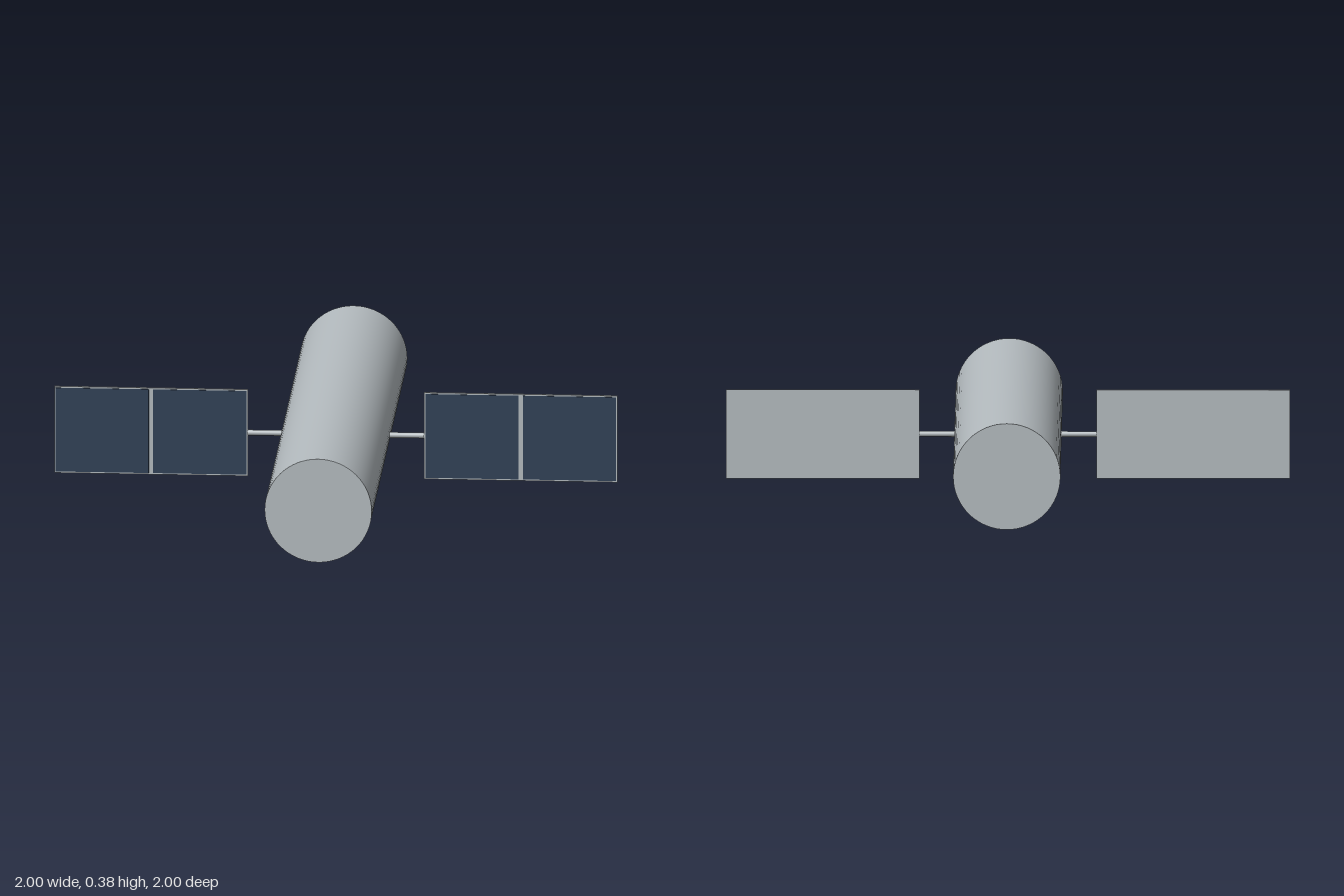
import * as THREE from 'three';

export function createModel() {
  const group = new THREE.Group();
  const metal = new THREE.MeshStandardMaterial({ color: 0xb4bbbf });
  metal.name = 'light grey metal';
  const cellBlue = new THREE.MeshStandardMaterial({ color: 0x304056 });
  cellBlue.name = 'dark blue cells';

  const R = 0.19; // body radius, also the height of its axis
  const add = (name, geometry, material, x, z, parent) => {
    const mesh = new THREE.Mesh(geometry, material);
    mesh.name = name;
    mesh.position.set(x, R, z);
    parent.add(mesh);
  };

  // Long cylindrical body along z
  add('body', new THREE.CylinderGeometry(R, R, 2, 64).rotateX(Math.PI / 2), metal, 0, 0, group);

  // One wing on each side: boom, backing panel and two front cell plates
  const inner = 0.313, outer = 1, height = 0.318, thick = 0.008;
  const width = outer - inner, mid = (inner + outer) / 2;
  const margin = 0.005, rib = 0.016;
  const cellWidth = (width - rib) / 2 - margin;
  for (const side of [1, -1]) {
    const wing = new THREE.Group();
    wing.name = side > 0 ? 'leftWing' : 'rightWing';
    group.add(wing);
    const boomStart = R - 0.02;
    add('boom', new THREE.CylinderGeometry(0.01, 0.01, inner - boomStart, 20).rotateZ(Math.PI / 2),
      metal, side * (inner + boomStart) / 2, 0, wing);
    add('panel', new THREE.BoxGeometry(width, height, thick), metal, side * mid, 0, wing);
    for (const s of [-1, 1]) {
      add('solarCells', new THREE.BoxGeometry(cellWidth, height - 2 * margin, 0.002), cellBlue,
        side * mid + s * (rib + cellWidth) / 2, thick / 2 + 0.0005, wing);
    }
  }
  return group;
}
